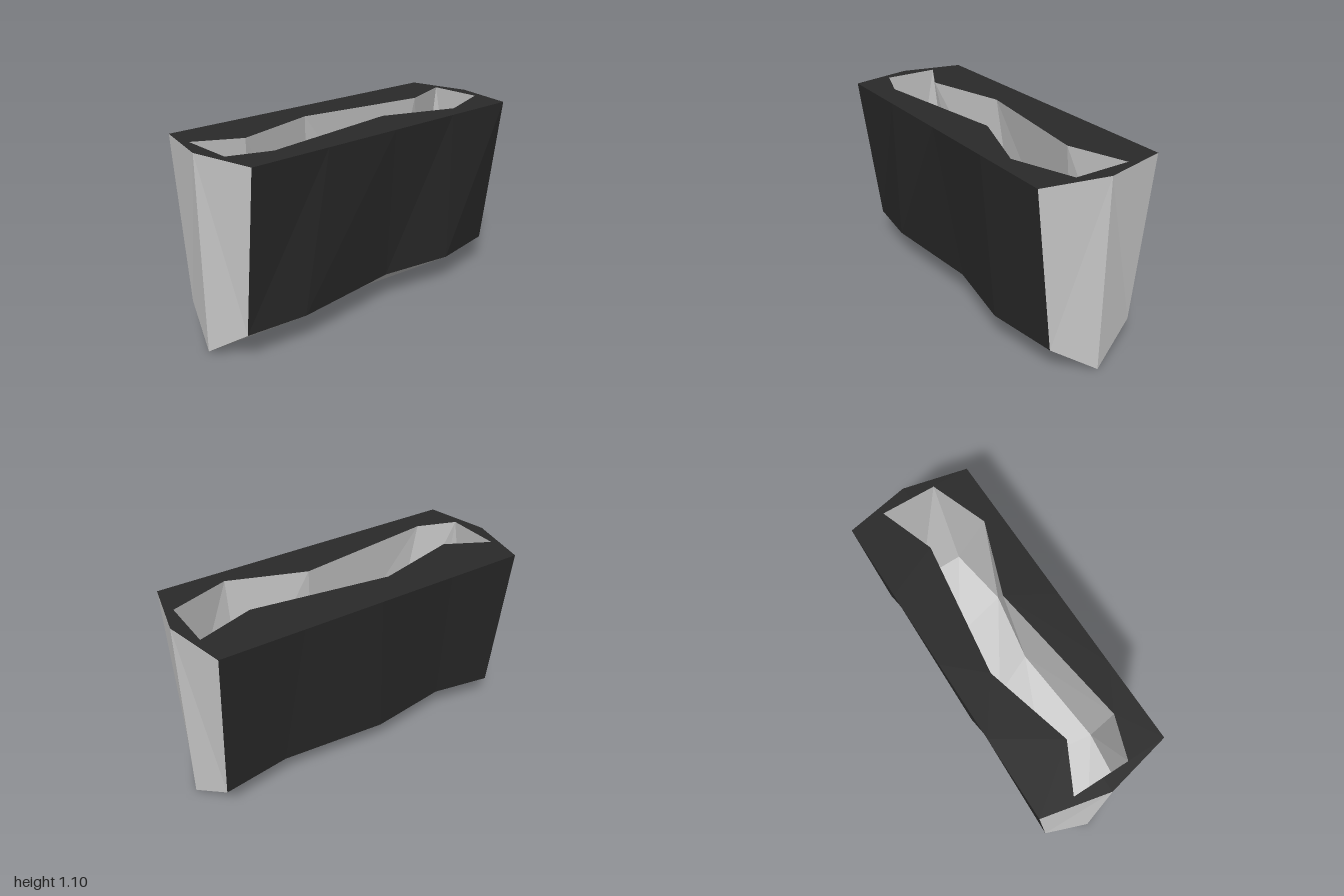
import * as THREE from 'three';

const TOP = 1.1;
const grey = new THREE.MeshStandardMaterial({ color: 0xcccccc, flatShading: true, side: THREE.DoubleSide });
const dark = new THREE.MeshStandardMaterial({ color: 0x2a2a2a, flatShading: true, side: THREE.DoubleSide });

// Ruled sheet between two rows of points; flip reverses the winding
function sheet(name, rowA, rowB, material, flip) {
  const pos = [];
  for (let i = 0; i < rowA.length - 1; i++) {
    const [a, b, c, d] = [rowA[i], rowA[i + 1], rowB[i + 1], rowB[i]];
    const quad = flip ? [a, c, b, a, d, c] : [a, b, c, a, c, d];
    quad.forEach((p) => pos.push(...p));
  }
  const geometry = new THREE.BufferGeometry();
  geometry.setAttribute('position', new THREE.Float32BufferAttribute(pos, 3));
  geometry.computeVertexNormals();
  const mesh = new THREE.Mesh(geometry, material);
  mesh.name = name;
  return mesh;
}

export function createModel() {
  const group = new THREE.Group();
  group.name = 'trough';

  // Keel line along the bottom
  const keel = [-1, -0.5, 0, 0.5, 1].map((x) => [x, 0, 0]);

  // Each long side: wavy opening edge [x, z] and the height of its lower edge
  const sides = [
    { name: 'front', s: 1, low: 0.18, lip: [[-0.92, 0.15], [-0.69, 0.23], [0.15, 0.115], [0.58, 0.27], [0.92, 0.15]] },
    { name: 'back', s: -1, low: 0.165, lip: [[-0.92, -0.17], [-0.67, -0.04], [-0.18, -0.17], [0.6, -0.06], [0.92, -0.17]] },
  ];

  for (const { name, s, low, lip } of sides) {
    const flip = s < 0;
    const outer = lip.map((_, i) => [-0.92 + 0.46 * i, TOP, 0.367 * s]);
    const inner = lip.map(([x, z]) => [x, TOP, z]);
    // The lower edge lies halfway between the outer rim and the opening
    const lower = outer.map((o, i) => [(o[0] + inner[i][0]) / 2, low, (o[2] + inner[i][2]) / 2]);

    group.add(
      sheet(name + 'Panel', lower, outer, dark, flip),
      sheet(name + 'Rim', outer, inner, dark, flip),
      sheet(name + 'InnerWall', inner, lower, grey, flip),
      sheet(name + 'Bottom', keel, lower, grey, flip),
    );

    // Pointed ends: rim, outer face and inner face of this half
    for (const e of [-1, 1]) {
      const i = e < 0 ? 0 : 4;
      const end = e < 0 ? 'right' : 'left';
      const tip = [e, TOP, 0];
      const mid = [0.92 * e, TOP, 0];
      const f = s * e < 0;
      group.add(
        sheet(`${name}${end}EndRim`, [outer[i], tip], [inner[i], mid], dark, f),
        sheet(`${name}${end}EndFace`, [lower[i], keel[i]], [outer[i], tip], grey, f),
        sheet(`${name}${end}InnerEnd`, [inner[i], mid], [lower[i], keel[i]], grey, f),
      );
    }
  }
  return group;
}
